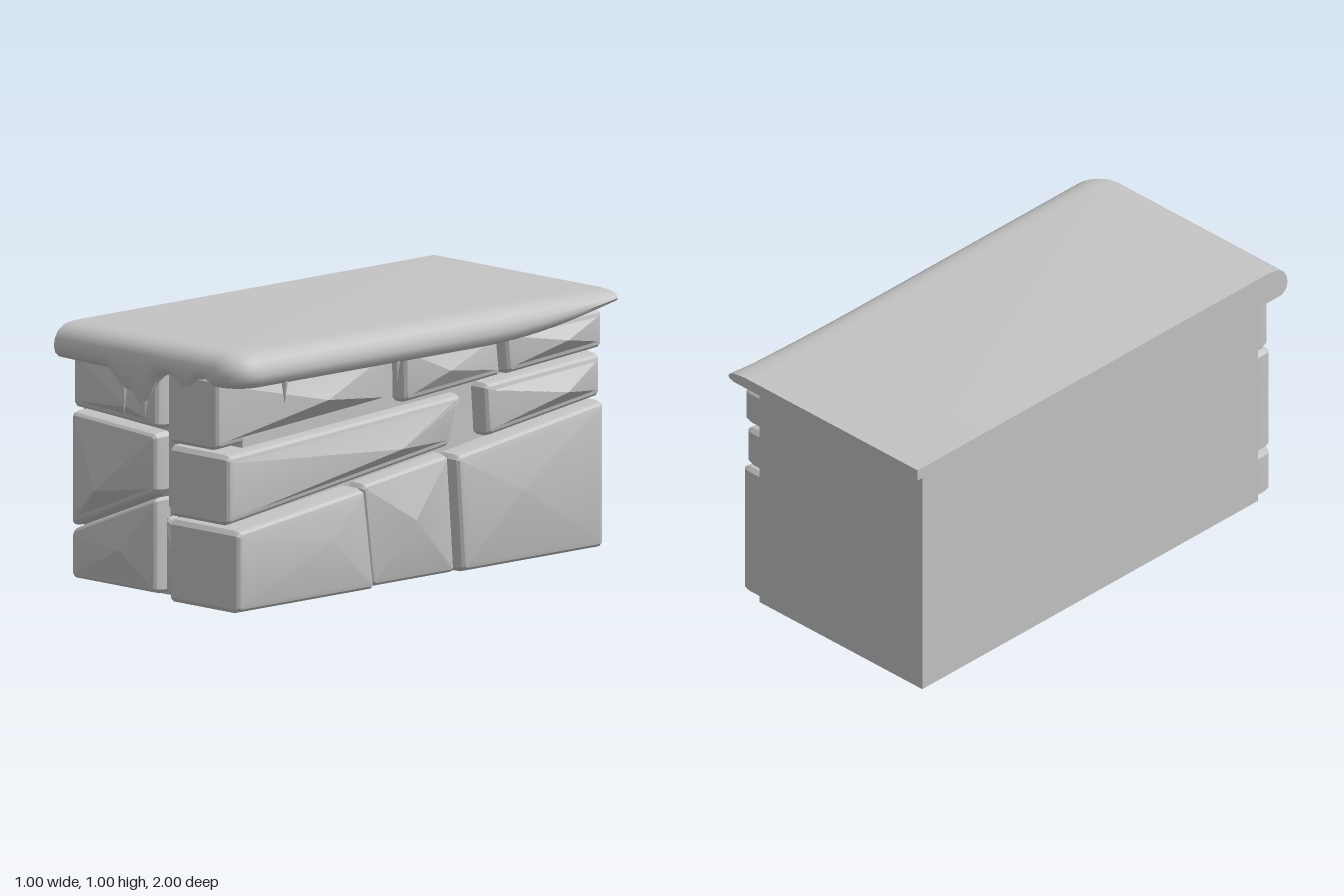
import * as THREE from 'three';
import { toCreasedNormals } from 'three/addons/utils/BufferGeometryUtils.js';

const stoneGrey = new THREE.MeshStandardMaterial({ color: 0xc4c4c4 });
stoneGrey.name = 'stoneGrey';

function build(name, positions, index, crease) {
  const g = new THREE.BufferGeometry();
  g.setAttribute('position', new THREE.Float32BufferAttribute(positions, 3));
  g.setIndex(index);
  const mesh = new THREE.Mesh(toCreasedNormals(g, crease), stoneGrey);
  mesh.name = name;
  return mesh;
}

// Cut each corner of a polygon with a small chamfer
function chamfer(poly, size) {
  const out = [];
  poly.forEach((p, i) => {
    for (const q of [poly.at(i - 1), poly[(i + 1) % poly.length]]) {
      const d = q.clone().sub(p).normalize();
      out.push(p.clone().addScaledVector(d, size));
    }
  });
  return out;
}

// Move a counter-clockwise polygon's edges inward
function inset(poly, amount) {
  return poly.map((p, i) => {
    const a = p.clone().sub(poly.at(i - 1)).normalize();
    const b = poly[(i + 1) % poly.length].clone().sub(p).normalize();
    const n = new THREE.Vector2(-a.y - b.y, a.x + b.x).normalize();
    const miter = n.dot(new THREE.Vector2(-a.y, a.x));
    return p.clone().addScaledVector(n, amount / miter);
  });
}

// Hewn stone facing +z: straight sides, rounded rim, faceted face rising to a peak
function stone(name, corners, base, rim, peak) {
  const outline = chamfer(corners.map(([x, y]) => new THREE.Vector2(x, y)), 0.016);
  const rings = [[0, base], [0, rim - 0.035], [0.006, rim - 0.014], [0.016, rim - 0.004], [0.03, rim]];
  const n = outline.length;
  const pos = [], index = [];
  for (const [amount, z] of rings) {
    for (const p of inset(outline, amount)) pos.push(p.x, p.y, z);
  }
  pos.push(...peak);
  const last = rings.length - 1;
  for (let i = 0; i < n; i++) {
    const k = (i + 1) % n;
    for (let r = 0; r < last; r++) {
      const a = r * n + i, b = r * n + k;
      index.push(a, b, b + n, a, b + n, a + n);
    }
    index.push(last * n + i, last * n + k, rings.length * n);
  }
  for (let i = 1; i < n - 1; i++) index.push(0, i + 1, i);
  return build(name, pos, index, 0.3);
}

// Hanging depth of the front lip below its normal underside
const drips = [
  [-0.5, 0], [-0.23, 0.005], [-0.16, 0.07], [-0.13, 0.075], [-0.1, 0.08], [-0.055, 0.13],
  [-0.02, 0.1], [0.035, 0.0], [0.11, -0.015], [0.165, 0.025], [0.21, 0.025],
  [0.25, -0.01], [0.3, -0.025], [0.34, 0], [0.5, 0],
];
function dripAt(x) {
  const i = Math.max(1, drips.findIndex(d => d[0] >= x));
  const [x0, d0] = drips[i - 1], [x1, d1] = drips[i];
  return THREE.MathUtils.lerp(d0, d1, (x - x0) / (x1 - x0));
}

// Top slab: a rounded lip swept round the front and one side, closed to the far corner
function slab() {
  const stations = [];
  const add = (x, z, nx, nz, drip = 0) => stations.push({ x, z, nx, nz, drip });
  for (let i = 0; i <= 72; i++) {
    const x = -0.5 + 0.87 * i / 72;
    add(x, 1, 0, 1, dripAt(x));
  }
  for (let i = 1; i < 10; i++) {
    const a = i / 10 * Math.PI / 2, s = Math.sin(a), c = Math.cos(a);
    add(0.37 + 0.13 * s, 0.87 + 0.13 * c, s, c);
  }
  for (let i = 0; i <= 30; i++) add(0.5, 0.87 - 1.87 * i / 30, 1, 0);

  // inset from the edge, share of the thickness, share of the drip
  const profile = [
    [0.12, 0, 0], [0.085, 0.015, 0], [0.05, 0.08, 0], [0.022, 0.22, 0], [0.006, 0.42, 0],
    [0, 0.65, 0.15], [0.008, 0.86, 0.6], [0.03, 1, 1], [0.06, 1, 0.7], [0.12, 1, 0],
  ];
  const m = profile.length + 2;
  const pos = [], index = [];
  for (const s of stations) {
    const rise = THREE.MathUtils.clamp((-0.3 - s.z) / 0.7, 0, 1);
    const thickness = 0.13 - 0.085 * rise * rise;
    pos.push(-0.5, 1, -1);
    for (const [off, t, d] of profile) {
      pos.push(s.x - s.nx * off, 1 - thickness * t - s.drip * d, s.z - s.nz * off);
    }
    pos.push(-0.5, 0.955, -1);
  }
  for (let i = 0; i < stations.length - 1; i++) {
    for (let j = 0; j < m - 1; j++) {
      const a = i * m + j, b = a + m;
      if (j > 0) index.push(a, a + 1, b);
      if (j < m - 2) index.push(b, a + 1, b + 1);
    }
  }
  const end = (stations.length - 1) * m;
  for (let j = 1; j < m - 1; j++) {
    index.push(0, j + 1, j);
    index.push(end, end + j, end + j + 1);
  }
  return build('topSlab', pos, index, 0.8);
}

export function createModel() {
  const model = new THREE.Group();
  model.name = 'stoneLedge';

  // Plain core block, flat on its back and one side
  const core = new THREE.Mesh(new THREE.BoxGeometry(0.86, 0.96, 1.815), stoneGrey);
  core.name = 'coreBlock';
  core.position.set(-0.07, 0.48, -0.0675);
  model.add(core, slab());

  // Front stones: corners, base, rim, peak
  const front = new THREE.Group();
  front.name = 'frontStones';
  [
    [[[-0.497, 0.01], [-0.03, 0.01], [-0.03, 0.385], [-0.497, 0.2]], 0.8, 0.92, [-0.17, 0.17, 0.975]],
    [[[-0.497, 0.208], [-0.03, 0.395], [-0.03, 0.628], [-0.497, 0.657]], 0.8, 0.92, [-0.3, 0.38, 0.985]],
    [[[-0.497, 0.668], [-0.03, 0.643], [-0.03, 0.9], [-0.497, 0.9]], 0.8, 0.91, [-0.15, 0.72, 0.955]],
    [[[-0.018, 0.01], [0.17, 0.01], [0.17, 0.235], [-0.018, 0.318]], 0.8, 0.89, [0.065, 0.18, 0.925]],
    [[[-0.018, 0.332], [0.17, 0.25], [0.17, 0.91], [-0.018, 0.91]], 0.8, 0.88, [0.07, 0.38, 0.905]],
  ].forEach(([c, b, r, p], i) => front.add(stone('frontStone' + (i + 1), c, b, r, p)));
  model.add(front);

  // Side stones, laid out facing +z and turned to +x; the first three wrap the corner
  const side = new THREE.Group();
  side.name = 'sideStones';
  [
    [[[-0.975, 0.01], [-0.245, 0.01], [-0.3, 0.408], [-0.975, 0.325]], 0.11, 0.475, [-0.5, 0.23, 0.5]],
    [[[-0.975, 0.338], [0.2, 0.495], [0.265, 0.69], [-0.975, 0.61]], 0.11, 0.42, [-0.1, 0.53, 0.465]],
    [[[-0.975, 0.62], [-0.065, 0.687], [-0.065, 0.9], [-0.975, 0.9]], 0.11, 0.36, [-0.45, 0.76, 0.425]],
    [[[-0.235, 0.01], [0.21, 0.01], [0.175, 0.473], [-0.285, 0.412]], 0.3, 0.44, [-0.04, 0.25, 0.48]],
    [[[0.225, 0.01], [0.972, 0.01], [0.972, 0.577], [0.192, 0.463]], 0.3, 0.46, [0.5, 0.3, 0.5]],
    [[[0.375, 0.508], [0.972, 0.59], [0.972, 0.757], [0.36, 0.715]], 0.3, 0.44, [0.75, 0.64, 0.49]],
    [[[-0.05, 0.693], [0.46, 0.735], [0.44, 0.91], [-0.055, 0.91]], 0.3, 0.43, [0.15, 0.8, 0.47]],
    [[[0.475, 0.737], [0.972, 0.777], [0.972, 0.93], [0.455, 0.91]], 0.3, 0.45, [0.75, 0.84, 0.49]],
  ].forEach(([c, b, r, p], i) => side.add(stone('sideStone' + (i + 1), c, b, r, p)));
  side.rotation.y = Math.PI / 2;
  model.add(side);

  // Thin spikes hanging under the lip: x, tip height, z, length
  for (const [x, tip, z, length] of [
    [-0.155, 0.685, 0.965, 0.16], [-0.042, 0.69, 0.965, 0.11],
    [0.465, 0.785, 0.72, 0.11], [0.465, 0.785, 0.13, 0.11],
  ]) {
    const spike = new THREE.Mesh(new THREE.ConeGeometry(0.016, length, 6), stoneGrey);
    spike.name = 'spike';
    spike.rotation.x = Math.PI;
    spike.position.set(x, tip + length / 2, z);
    model.add(spike);
  }
  return model;
}
